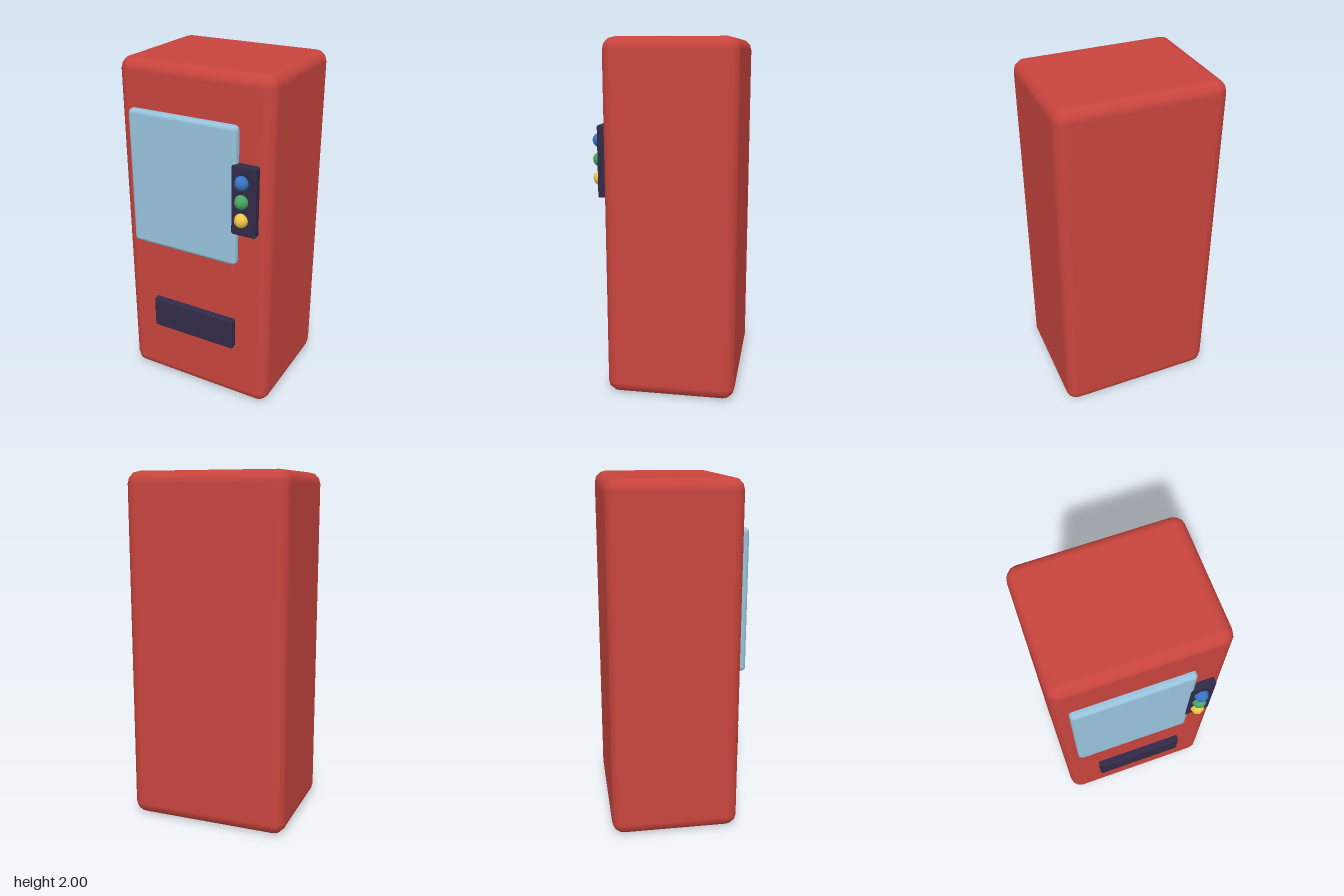
import * as THREE from 'three';

const material = (color) => new THREE.MeshStandardMaterial({ color });
const RED = material(0xc8443d);
const GLASS = material(0x98c3dc);
const DARK = material(0x322a48);

// Box with every edge bevelled in three steps: a sphere grid split into eight corners
function bevelledBox(w, h, d, r) {
  const geometry = new THREE.SphereGeometry(1, 16, 9);
  const { position, normal } = geometry.attributes;
  const latitudes = [90, 90, 60, 30, 0, 0, -30, -60, -90, -90];
  for (let i = 0; i < position.count; i++) {
    const row = Math.floor(i / 17);
    const col = (i % 17) % 16;
    const corner = Math.floor(col / 4);
    const lat = THREE.MathUtils.degToRad(latitudes[row]);
    const lon = THREE.MathUtils.degToRad(corner * 90 + (col % 4) * 30);
    const nx = -Math.cos(lon) * Math.cos(lat);
    const ny = Math.sin(lat);
    const nz = Math.sin(lon) * Math.cos(lat);
    const sx = corner === 1 || corner === 2 ? 1 : -1;
    const sy = row < 5 ? 1 : -1;
    const sz = corner < 2 ? 1 : -1;
    // The first and last rows close the flat top and bottom
    const spread = row === 0 || row === 9 ? 0 : 1;
    position.setXYZ(
      i,
      spread * sx * (w / 2 - r) + nx * r,
      sy * (h / 2 - r) + ny * r,
      spread * sz * (d / 2 - r) + nz * r
    );
    normal.setXYZ(i, nx, ny, nz);
  }
  return geometry;
}

export function createModel() {
  const group = new THREE.Group();
  const add = (name, geometry, mat, x, y, z) => {
    const mesh = new THREE.Mesh(geometry, mat);
    mesh.name = name;
    mesh.position.set(x, y, z);
    group.add(mesh);
  };

  // Cabinet
  add('cabinet', bevelledBox(0.933, 2, 0.733, 0.067), RED, 0, 1, -0.045);

  // Display window, control panel and dispensing slot on the front
  add('displayWindow', bevelledBox(0.667, 0.8, 0.067, 0.024), GLASS, -0.053, 1.335, 0.327);
  add('controlPanel', bevelledBox(0.147, 0.4, 0.067, 0.01), DARK, 0.327, 1.335, 0.329);
  add('dispensingSlot', bevelledBox(0.533, 0.19, 0.067, 0.01), DARK, 0, 0.47, 0.327);

  // Selection buttons
  const button = new THREE.SphereGeometry(0.04, 8, 8);
  [['blueButton', 0x3a74c6], ['greenButton', 0x48a862], ['yellowButton', 0xf0c846]].forEach(([name, color], i) =>
    add(name, button, material(color), 0.32, 1.445 - i * 0.107, 0.368));

  return group;
}
